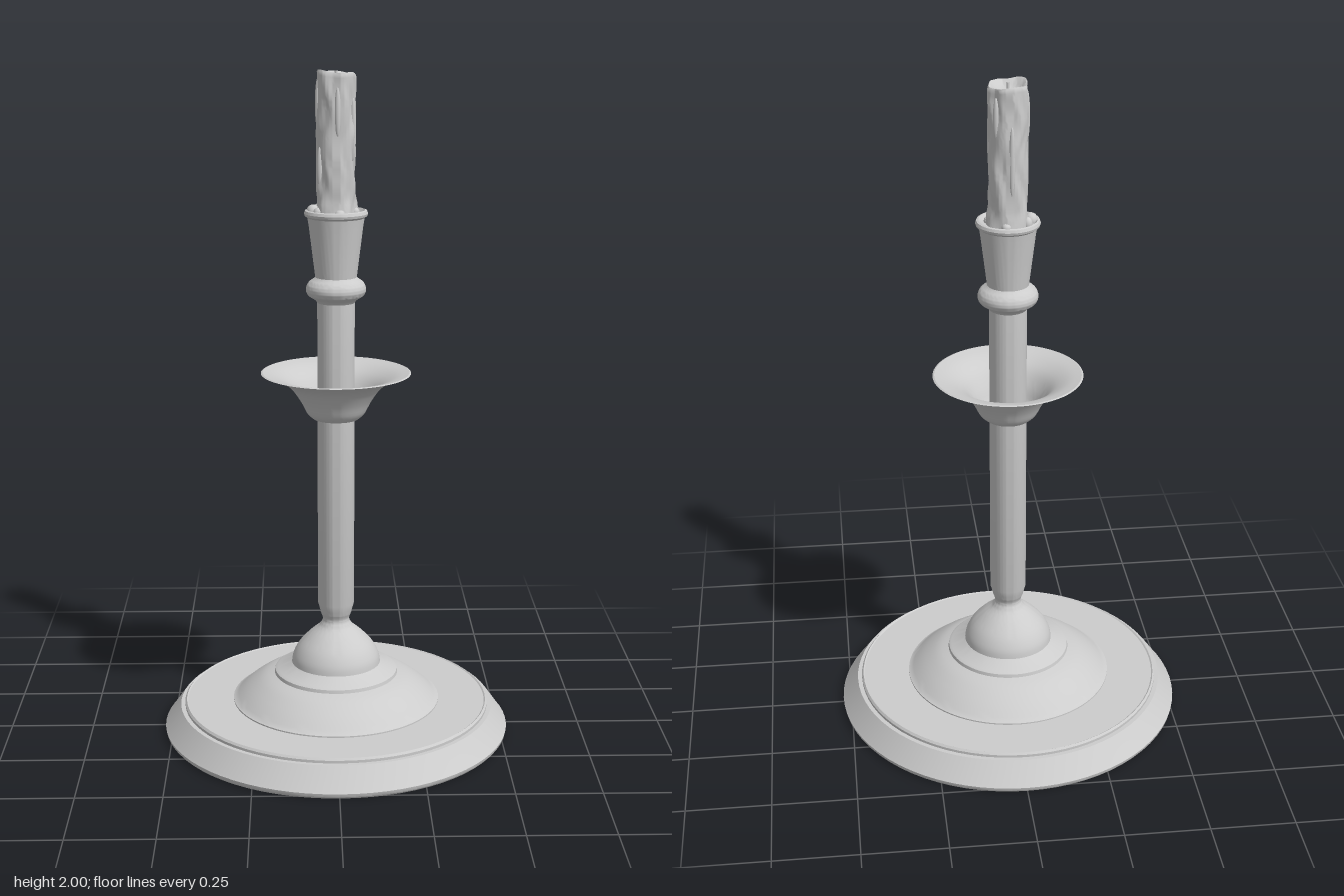
import * as THREE from 'three';
import { toCreasedNormals } from 'three/addons/utils/BufferGeometryUtils.js';

const SEGMENTS = 72;

// Lathe from [radius, height] pairs, running bottom to top on the outside
function turned(name, profile, material, crease = 0.5) {
  const points = profile.map(([r, y]) => new THREE.Vector2(r, y));
  const geometry = toCreasedNormals(new THREE.LatheGeometry(points, SEGMENTS), crease);
  const mesh = new THREE.Mesh(geometry, material);
  mesh.name = name;
  return mesh;
}

// Smooth run of profile points through a few guide points
function curved(guides, steps = 14) {
  const curve = new THREE.SplineCurve(guides.map(([r, y]) => new THREE.Vector2(r, y)));
  return curve.getPoints(steps).map((p) => [p.x, p.y]);
}

// Candle shaft: a lathe with ripples, drips and an uneven hollowed rim
function candleGeometry() {
  const bottom = 1.57, top = 1.985, rows = 44;
  const points = [];
  for (let i = 0; i <= rows; i++) {
    points.push(new THREE.Vector2(0.055, bottom + (top - bottom) * i / rows));
  }
  [[0.052, 1.99], [0.046, 1.988], [0.04, 1.976], [0.025, 1.969], [0, 1.967]]
    .forEach(([r, y]) => points.push(new THREE.Vector2(r, y)));
  const geometry = new THREE.LatheGeometry(points, SEGMENTS);
  const pos = geometry.attributes.position;
  for (let i = 0; i < pos.count; i++) {
    const x = pos.getX(i), y = pos.getY(i), z = pos.getZ(i);
    const r = Math.hypot(x, z);
    const a = Math.atan2(z, x);
    const wall = THREE.MathUtils.smoothstep(r, 0.03, 0.054);
    const ripple = 0.0022 * Math.sin(5 * a + 2.5 * Math.sin(y * 17))
      + 0.0018 * Math.sin(8 * a + 9 * y + 2 * Math.sin(y * 31))
      + 0.0014 * Math.sin(3 * a - y * 38);
    const foot = 0.008 * Math.max(0, 1 - (y - bottom) / 0.06);
    const k = 1 + wall * (ripple + foot) / Math.max(r, 0.01);
    const rim = THREE.MathUtils.smoothstep(y, 1.93, 1.985) * wall;
    const lift = rim * (0.005 * Math.cos(a - 2.6) + 0.003 * Math.sin(3 * a));
    pos.setXYZ(i, x * k, y + lift, z * k);
  }
  return toCreasedNormals(geometry, 0.9);
}

export function createModel() {
  const model = new THREE.Group();
  model.name = 'candlestick';
  const grey = new THREE.MeshStandardMaterial({ color: 0xcccccc });
  grey.name = 'plain grey';

  // Wide round foot with a bevelled side and a small lip
  model.add(turned('foot', [
    [0, 0], [0.518, 0], [0.523, 0.006], [0.525, 0.016], [0.52, 0.022],
    [0.477, 0.082], [0.464, 0.082], [0.464, 0.09], [0.459, 0.096],
    [0.455, 0.093], [0, 0.093],
  ], grey));

  // Dome, step and bell rising to the neck
  model.add(turned('dome', [
    [0.315, 0.09], [0.315, 0.097],
    ...curved([[0.308, 0.1], [0.27, 0.133], [0.225, 0.163], [0.188, 0.177]], 10),
    [0.186, 0.187], [0.178, 0.192], [0.14, 0.206],
    ...curved([[0.135, 0.21], [0.13, 0.235], [0.112, 0.268], [0.08, 0.302],
      [0.05, 0.328], [0.04, 0.348], [0.046, 0.366]], 20),
  ], grey));

  // Straight column
  model.add(turned('column', [
    [0.04, 0.355], [0.047, 0.37], [0.049, 0.38], [0.055, 0.4], [0.055, 1.34],
  ], grey));

  // Flared drip pan, thin walled, from underside to inside
  const flare = [[0.068, 0.978], [0.086, 0.995], [0.106, 1.033], [0.138, 1.076], [0.18, 1.102], [0.222, 1.116]];
  const inside = flare.map(([r, y]) => [r - 0.005, y + 0.004]).reverse();
  inside[0] = [0.217, 1.118];
  model.add(turned('dripPan', [
    [0.05, 0.976], ...curved(flare, 20), ...curved(inside, 20), [0.05, 0.984],
  ], grey));

  // Rounded ring below the cup
  model.add(turned('ring', [
    [0.054, 1.325], [0.06, 1.334],
    ...curved([[0.066, 1.338], [0.083, 1.35], [0.088, 1.367], [0.081, 1.385], [0.065, 1.397]], 16),
    [0.06, 1.403],
  ], grey, 0.7));

  // Candle cup with a rolled lip and hollow top
  model.add(turned('cup', [
    [0.06, 1.395], [0.063, 1.42], [0.079, 1.55], [0.083, 1.575], [0.091, 1.581],
    [0.093, 1.588], [0.09, 1.596], [0.084, 1.598], [0.075, 1.588], [0, 1.583],
  ], grey));

  const candle = new THREE.Mesh(candleGeometry(), grey);
  candle.name = 'candle';
  model.add(candle);

  // Wax pooled around the candle foot, [angle, distance, size, height]
  const blob = new THREE.SphereGeometry(1, 20, 14);
  [[3.1, 0.066, 0.02, 0.022], [2.6, 0.06, 0.015, 0.016], [3.65, 0.06, 0.014, 0.02],
    [1.4, 0.056, 0.015, 0.012], [0.2, 0.056, 0.013, 0.014], [4.9, 0.056, 0.014, 0.013]]
    .forEach(([a, d, s, h]) => {
      const wax = new THREE.Mesh(blob, grey);
      wax.name = 'waxPool';
      wax.position.set(Math.cos(a) * d, 1.592, Math.sin(a) * d);
      wax.scale.set(s, h, s);
      model.add(wax);
    });

  // Long drips down the shaft, [angle, height, half length]
  [[3.3, 1.9, 0.075], [2.7, 1.72, 0.06], [0.4, 1.83, 0.09], [1.5, 1.88, 0.07],
    [4.6, 1.78, 0.1], [5.5, 1.9, 0.06]]
    .forEach(([a, y, h]) => {
      const drip = new THREE.Mesh(blob, grey);
      drip.name = 'waxDrip';
      drip.position.set(Math.cos(a) * 0.052, y, Math.sin(a) * 0.052);
      drip.scale.set(0.009, h, 0.009);
      model.add(drip);
    });

  // Wick stub
  const wick = new THREE.Mesh(new THREE.CylinderGeometry(0.004, 0.004, 0.03, 10), grey);
  wick.name = 'wick';
  wick.position.y = 1.978;
  model.add(wick);

  return model;
}
